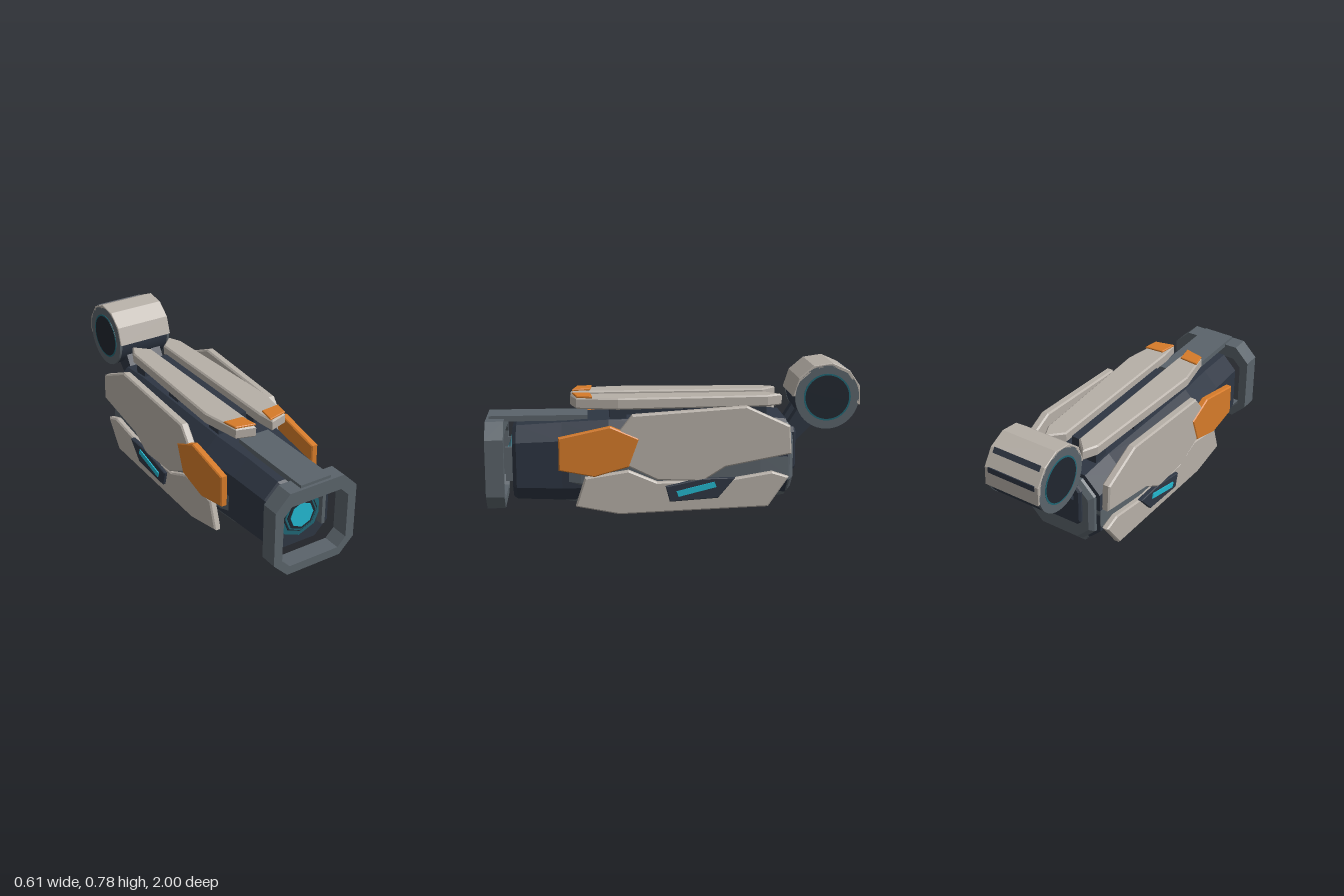
import * as THREE from 'three';

const mat = (name, color) => Object.assign(new THREE.MeshStandardMaterial({ color }), { name });

export function createModel() {
  const group = new THREE.Group();
  const light = mat('light panel', 0xb6afa7);
  const gray = mat('frame gray', 0x5a636a);
  const navy = mat('navy hull', 0x2e3643);
  const orange = mat('orange accent', 0xd67b29);
  const cyan = mat('cyan glow', 0x23b8d0);
  const teal = mat('teal', 0x1f6674);
  const black = mat('dark recess', 0x20262f);

  const add = (name, geometry, material, x = 0, y = 0, z = 0) => {
    const mesh = new THREE.Mesh(geometry, material);
    mesh.name = name;
    mesh.position.set(x, y, z);
    group.add(mesh);
    return mesh;
  };
  const box = (name, m, x0, x1, y0, y1, z0, z1) =>
    add(name, new THREE.BoxGeometry(x1 - x0, y1 - y0, z1 - z0), m, (x0 + x1) / 2, (y0 + y1) / 2, (z0 + z1) / 2);

  const extrude = (pts, depth, bevel, hole) => {
    const shape = new THREE.Shape(pts.map(([a, b]) => new THREE.Vector2(a, b)));
    if (hole) shape.holes.push(new THREE.Path(hole.map(([a, b]) => new THREE.Vector2(a, b))));
    const g = new THREE.ExtrudeGeometry(shape, {
      depth: depth - 2 * bevel, bevelEnabled: bevel > 0, bevelSize: bevel,
      bevelThickness: bevel, bevelOffset: -bevel, bevelSegments: 1,
    });
    return g.translate(0, 0, bevel);
  };
  // Plate outlined in (z, y), thick from x0 to x1
  const sidePlate = (name, m, pts, x0, x1, bevel = 0) =>
    add(name, extrude(pts.map(([z, y]) => [-z, y]), x1 - x0, bevel).rotateY(Math.PI / 2), m, x0);
  const sidePair = (name, m, pts, x0, x1, bevel) => {
    sidePlate(name + 'Left', m, pts, x0, x1, bevel);
    sidePlate(name + 'Right', m, pts, -x1, -x0, bevel);
  };
  // Plate outlined in (x, z), thick from y0 to y1, mirrored
  const topPair = (name, m, pts, y0, y1, bevel) => {
    for (const s of [1, -1])
      add(name + (s > 0 ? 'Left' : 'Right'),
        extrude(pts.map(([x, z]) => [s * x, -z]), y1 - y0, bevel).rotateX(-Math.PI / 2), m, 0, y0);
  };
  // Chamfered rectangle, counter-clockwise
  const octagon = (w, y0, y1, c) => [[w, y0 + c], [w, y1 - c], [w - c, y1], [c - w, y1],
    [-w, y1 - c], [-w, y0 + c], [c - w, y0], [w - c, y0]];
  // Hull through [z, outline] sections, front to back
  const loft = (name, m, sections) => {
    const n = sections[0][1].length, pos = [], idx = [];
    for (const [z, ring] of sections) for (const [x, y] of ring) pos.push(x, y, z);
    const last = (sections.length - 1) * n;
    for (let i = 0; i < last; i += n)
      for (let j = 0; j < n; j++) {
        const a = i + j, b = i + (j + 1) % n;
        idx.push(a, a + n, b, b, a + n, b + n);
      }
    for (let j = 1; j < n - 1; j++) idx.push(0, j, j + 1, last, last + j + 1, last + j);
    let g = new THREE.BufferGeometry();
    g.setAttribute('position', new THREE.Float32BufferAttribute(pos, 3));
    g.setIndex(idx);
    g = g.toNonIndexed();
    g.computeVertexNormals();
    return add(name, g, m);
  };

  // Main hull and belly
  loft('hull', navy, [
    [0.86, octagon(0.185, 0.07, 0.445, 0.075)],
    [0.84, octagon(0.2, 0.058, 0.46, 0.08)],
    [0.6, octagon(0.215, 0.05, 0.475, 0.085)],
    [0.35, octagon(0.243, 0.05, 0.49, 0.09)],
    [-0.4, octagon(0.243, 0.05, 0.5, 0.09)],
    [-0.6, octagon(0.235, 0.07, 0.48, 0.09)],
  ]);
  const belly = (w, y0, y1) => [[w, y0 + 0.13], [w, y1], [-w, y1], [-w, y0 + 0.13], [0.1 - w, y0], [w - 0.1, y0]];
  loft('belly', gray, [
    [0.6, belly(0.21, 0.045, 0.25)],
    [0.5, belly(0.235, 0.035, 0.28)],
    [0.3, belly(0.25, 0.03, 0.29)],
    [-0.45, belly(0.25, 0.035, 0.3)],
    [-0.6, belly(0.238, 0.06, 0.29)],
  ]);
  loft('rearCap', gray, [
    [-0.59, octagon(0.215, 0.075, 0.46, 0.08)],
    [-0.615, octagon(0.21, 0.08, 0.455, 0.08)],
    [-0.635, octagon(0.185, 0.1, 0.43, 0.07)],
  ]);

  // Front guard frame and its strut
  add('guardFrame', extrude(octagon(0.245, 0.018, 0.49, 0.083), 0.097, 0,
    octagon(0.196, 0.065, 0.412, 0.048)), gray, 0, 0, 0.903);
  box('guardStrut', gray, -0.09, 0.09, 0.475, 0.505, 0.46, 0.985);
  for (const s of [1, -1]) box('lensBar', gray, s * 0.128 - 0.01, s * 0.128 + 0.01, 0.16, 0.345, 0.855, 0.9);

  // Stepped octagonal lens
  const lens = [[0.132, teal, 0.872], [0.105, black, 0.877], [0.097, teal, 0.882], [0.086, black, 0.887], [0.07, cyan, 0.891]];
  for (const [r, m, z] of lens)
    add('lensRing', new THREE.CylinderGeometry(r, r, z - 0.85, 8).toNonIndexed().rotateX(Math.PI / 2), m, 0, 0.253, (z + 0.85) / 2);

  // Side armour
  sidePair('upperSidePanel', light, [[0.3, 0.45], [0.23, 0.54], [-0.37, 0.578], [-0.6, 0.47], [-0.61, 0.32],
    [-0.26, 0.255], [-0.14, 0.18], [0.1, 0.19], [0.25, 0.265], [0.33, 0.35]], 0.25, 0.296, 0.008);
  sidePair('lowerSidePanel', light, [[0.48, 0.205], [0.25, 0.24], [0.1, 0.175], [-0.26, 0.18], [-0.51, 0.22],
    [-0.6, 0.19], [-0.49, 0.03], [0.3, 0.003], [0.53, 0.05]], 0.241, 0.28, 0.008);
  sidePair('orangeSidePanel', orange, [[0.615, 0.425], [0.345, 0.482], [0.195, 0.415], [0.25, 0.265],
    [0.43, 0.215], [0.615, 0.252]], 0.262, 0.301, 0.006);
  sidePair('sideInsert', navy, [[0.057, 0.155], [-0.14, 0.195], [-0.31, 0.195], [-0.22, 0.088], [0.035, 0.072]],
    0.27, 0.298, 0.004);
  sidePair('sideGlow', cyan, [[0, 0.13], [-0.2, 0.178], [-0.212, 0.15], [-0.01, 0.1]], 0.297, 0.304, 0);

  // Top rails, orange tips, posts and centre spine
  topPair('topRail', light, [[0.04, -0.5], [0.12, -0.58], [0.158, -0.5], [0.194, 0.3], [0.165, 0.45],
    [0.152, 0.52], [0.05, 0.552], [0.038, 0.45]], 0.549, 0.61, 0.008);
  topPair('railTip', orange, [[0.06, 0.445], [0.168, 0.435], [0.152, 0.517], [0.045, 0.542]], 0.608, 0.62, 0.003);
  for (const s of [1, -1])
    for (const z of [0.3, -0.1, -0.45]) box('railPost', navy, s * 0.11 - 0.03, s * 0.11 + 0.03, 0.47, 0.555, z - 0.045, z + 0.045);
  box('spine', navy, -0.035, 0.035, 0.46, 0.57, -0.46, 0.34);

  // Rear hinge
  add('hingeBlock', extrude(octagon(0.15, 0.19, 0.43, 0.025), 0.05, 0.01), navy, 0, 0, -0.655);
  sidePair('hingeArm', navy, [[-0.61, 0.43], [-0.69, 0.56], [-0.77, 0.46], [-0.65, 0.34]], 0.05, 0.11, 0);

  // Rear drum lying across the model
  const cy = 0.596, cz = -0.818;
  const drum = (name, m, r, half, x = 0) =>
    add(name, new THREE.CylinderGeometry(r, r, half * 2, 40).rotateZ(Math.PI / 2), m, x, cy, cz);
  drum('drumCore', navy, 0.17, 0.15);
  for (const s of [1, -1]) {
    drum('drumEnd', gray, 0.172, 0.007, s * 0.156);
    drum('drumEndRing', teal, 0.127, 0.002, s * 0.163);
    drum('drumEndDisc', black, 0.118, 0.003, s * 0.163);
  }
  // Faceted shell over the drum; angle 0 points forward, 90 degrees up
  const shellAt = (r, deg) => [cz + r * Math.cos(deg * Math.PI / 180), cy + r * Math.sin(deg * Math.PI / 180)];
  const angles = [2, 34, 66, 98, 130, 162, 194];
  sidePlate('drumShell', light, [...angles.map((a) => shellAt(0.186, a)),
    ...angles.slice().reverse().map((a) => shellAt(0.165, a))], -0.163, 0.163, 0.003);
  for (const a of [133, 165]) {
    const [z, y] = shellAt(0.182, a);
    const slot = add('shellSlot', new THREE.BoxGeometry(0.28, 0.03, 0.009), navy, 0, y, z);
    slot.rotation.x = -(a > 150 ? 178 : 146) * Math.PI / 180;
  }
  return group;
}
